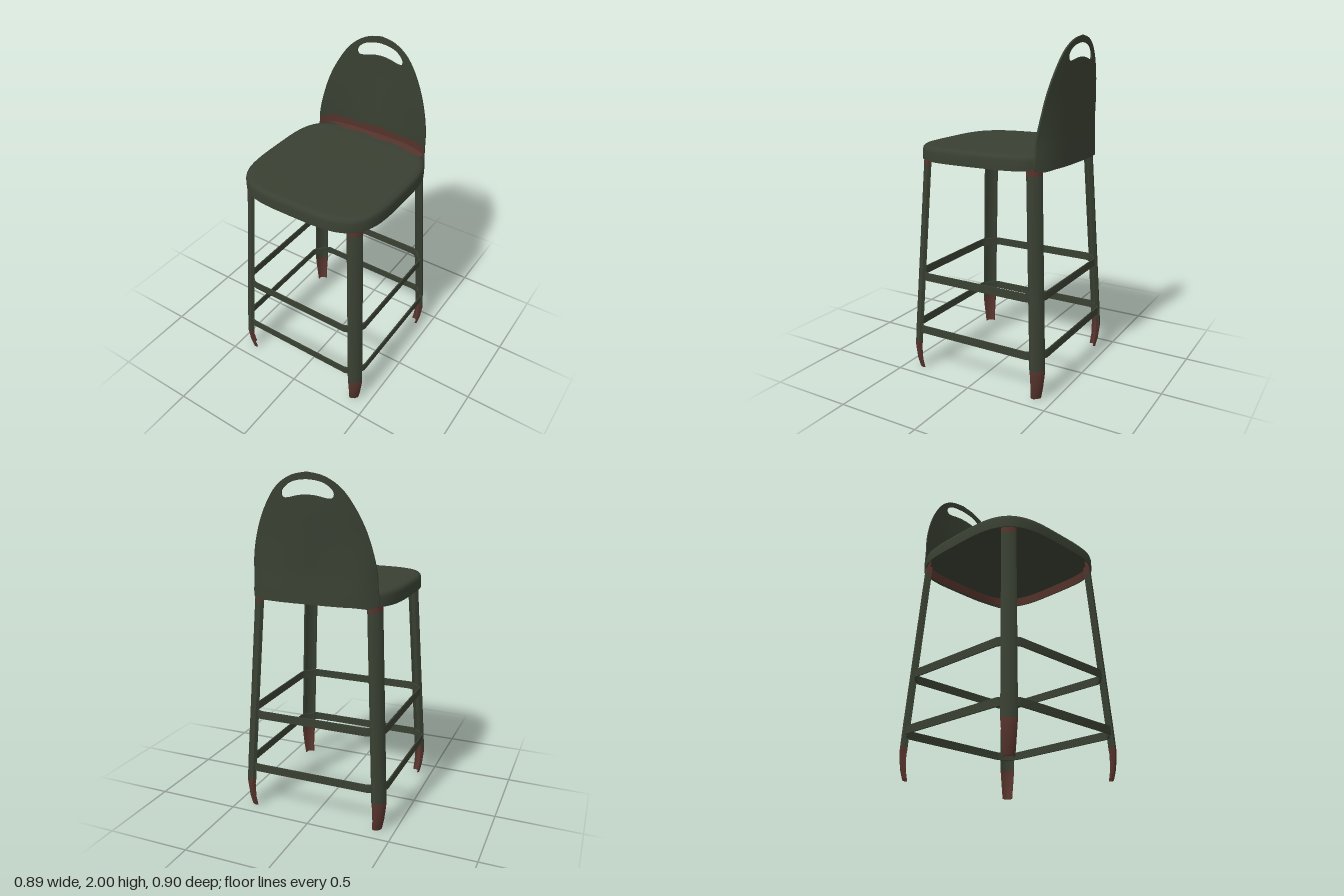
import * as THREE from 'three';
import { toCreasedNormals } from 'three/addons/utils/BufferGeometryUtils.js';

const paint = new THREE.MeshStandardMaterial({ color: 0x394032, side: THREE.DoubleSide });
paint.name = 'dark green paint';
const rust = new THREE.MeshStandardMaterial({ color: 0x57342d, side: THREE.DoubleSide });
rust.name = 'red brown wear';

const V = (x, y, z) => new THREE.Vector3(x, y, z);
const lerp = THREE.MathUtils.lerp;

function mesh(name, geometry, material) {
  const m = new THREE.Mesh(geometry, material);
  m.name = name;
  return m;
}

// Skin a series of closed loops that all have the same number of points
function loft(rings, crease = 0.6) {
  const n = rings[0].length, index = [];
  for (let i = 0; i < rings.length - 1; i++) {
    for (let j = 0; j < n; j++) {
      const k = (j + 1) % n;
      const a = i * n + j, b = i * n + k, c = b + n, d = a + n;
      index.push(a, b, c, a, c, d);
    }
  }
  const g = new THREE.BufferGeometry().setFromPoints(rings.flat());
  g.setIndex(index);
  return toCreasedNormals(g, crease);
}

// Piecewise linear lookup in a list of [key, value]
function lookup(table, x) {
  let i = 1;
  while (i < table.length - 1 && x > table[i][0]) i++;
  const [x0, y0] = table[i - 1], [x1, y1] = table[i];
  return lerp(y0, y1, THREE.MathUtils.clamp((x - x0) / (x1 - x0), 0, 1));
}

// ---- Seat: a squarish pan with a rounded top edge and a hollow underside
const POWER = 3.75;
function seatRing([scale, y]) {
  const pts = [];
  for (let j = 0; j < 72; j++) {
    const t = (j / 72) * Math.PI * 2, c = Math.cos(t), s = -Math.sin(t);
    const x = Math.sign(c) * Math.abs(c) ** (2 / POWER);
    const z = Math.sign(s) * Math.abs(s) ** (2 / POWER);
    pts.push(V(x * scale * 0.442, y, z * scale * (z < 0 ? 0.433 : 0.446)));
  }
  return pts;
}
function makeSeat() {
  const seat = new THREE.Group();
  seat.name = 'seat';
  const shell = [[0.985, 1.3], [1, 1.3], [1, 1.355], [0.992, 1.37], [0.97, 1.381],
    [0.92, 1.384], [0.6, 1.381], [0, 1.381]];
  seat.add(mesh('seatShell', loft(shell.map(seatRing), 0.9), paint));
  seat.add(mesh('seatInnerRim', loft([[0.965, 1.352], [0.985, 1.3]].map(seatRing)), rust));
  seat.add(mesh('seatUnderside', loft([[0, 1.352], [0.965, 1.352]].map(seatRing)), paint));
  return seat;
}

// ---- Backrest: curved sheet that hugs the seat at the bottom
function backZ(x, y) {
  const centre = lookup([[1.3, 0.436], [1.38, 0.434], [1.45, 0.43], [1.8, 0.444], [2, 0.448]], y);
  const hug = centre * (1 - (Math.abs(x) / 0.445) ** POWER) ** (1 / POWER);
  const bow = centre - 0.45 * x * x;
  return -lerp(hug, bow, THREE.MathUtils.smoothstep(y, 1.38, 1.7));
}
// Half outline, top to bottom, turned into a full loop
function backLoop(half) {
  const curve = new THREE.CatmullRomCurve3(half.map(([x, y]) => V(-x, y, 0)));
  const left = curve.getPoints(48);
  const right = left.slice(1, -1).reverse().map(p => V(-p.x, p.y, 0));
  return [...left, ...right];
}
function makeBackrest() {
  const outer = backLoop([[0, 2], [0.08, 1.985], [0.15, 1.95], [0.205, 1.9], [0.27, 1.8],
    [0.315, 1.7], [0.345, 1.6], [0.364, 1.5], [0.37, 1.4], [0.37, 1.3], [0.25, 1.3], [0.12, 1.3], [0, 1.3]]);
  const slot = backLoop([[0, 1.962], [0.05, 1.957], [0.1, 1.943], [0.138, 1.915], [0.149, 1.897],
    [0.15, 1.883], [0.145, 1.872], [0.135, 1.866], [0.12, 1.866], [0.1, 1.869], [0.07, 1.876],
    [0.035, 1.882], [0, 1.884]]);
  const front = [], back = [], STEPS = 14;
  for (let i = 0; i <= STEPS; i++) {
    const flat = outer.map((p, j) => p.clone().lerp(slot[j], i / STEPS));
    front.push(flat.map(p => V(p.x, p.y, backZ(p.x, p.y))));
    back.unshift(flat.map(p => V(p.x, p.y, backZ(p.x, p.y) - 0.01)));
  }
  return mesh('backrest', loft([...front, ...back, front[0]]), paint);
}

// ---- Worn patches where the seat meets the backrest
function patch(name, place) {
  const g = new THREE.PlaneGeometry(2, 1, 48, 3), p = g.attributes.position;
  for (let i = 0; i < p.count; i++) {
    const v = place(p.getX(i), p.getY(i) + 0.5);
    p.setXYZ(i, v.x, v.y, v.z);
  }
  g.computeVertexNormals();
  return mesh(name, g, rust);
}
function makeWear() {
  const group = new THREE.Group();
  group.name = 'wear';
  group.add(patch('backrestWear', (u, v) => {
    const x = u * 0.367;
    const top = 1.432 + 0.007 * Math.sin(x * 22 + 1) + 0.004 * Math.sin(x * 61);
    const y = lerp(1.375, top, v);
    return V(x, y, backZ(x, y) + 0.003);
  }));
  group.add(patch('seatWear', (u, v) => {
    const x = u * 0.36, end = backZ(x, 1.385);
    const edge = -0.385 + 0.007 * Math.sin(x * 27) + 0.17 * Math.max(0, x - 0.12);
    return V(x, 1.386, lerp(Math.max(edge, end + 0.005), end, v));
  }));
  return group;
}

// ---- Legs: pressed channels set diagonally, with tapered feet hooked inwards
function legRing(y) {
  const c = lookup([[0, 0.408], [0.06, 0.419], [0.15, 0.426], [0.3, 0.419], [1.35, 0.362]], y);
  const h = lookup([[0, 0.03], [0.18, 0.043], [1.35, 0.043]], y);
  const d = lookup([[0, 0.022], [0.18, 0.034], [1.35, 0.034]], y);
  const w = h - 0.007;
  const section = [[-h, -d], [-h, -0.013], [-h * 0.72, -0.003], [0, 0.002], [h * 0.72, -0.003], [h, -0.013], [h, -d],
    [w, -d], [w, -0.017], [w * 0.72, -0.01], [0, -0.006], [-w * 0.72, -0.01], [-w, -0.017], [-w, -d]];
  return section.map(([t, r]) => V(c + (r + t) * Math.SQRT1_2, y, c + (r - t) * Math.SQRT1_2));
}
// Fold the channel section onto its centre line to close an end
const folded = ring => ring.map((p, j) => p.clone().lerp(ring[ring.length - 1 - j], 0.5));

function makeLeg(name, angle) {
  const leg = new THREE.Group();
  leg.name = name;
  const foot = [0, 0.03, 0.06, 0.1, 0.15, 0.18].map(legRing);
  const shaft = [0.18, 0.24, 0.3, 0.8, 1.27].map(legRing);
  const top = [1.27, 1.35].map(legRing);
  leg.add(mesh('foot', loft([folded(foot[0]), ...foot], 0.8), rust));
  leg.add(mesh('shaft', loft(shaft, 0.8), paint));
  leg.add(mesh('legTop', loft([...top, folded(top[1])], 0.8), rust));
  leg.rotation.y = angle;
  return leg;
}

// ---- Footrest bands: flat strips running round all four legs
function makeBand(name, half, y0, y1) {
  const ring = (inset, y) => {
    const a = half - inset, b = a - 0.07, pts = [];
    const corner = [[a, -b + 0.02], [a, b - 0.02], [a - 0.008, b], [b, a - 0.008]];
    for (let q = 0; q < 4; q++) {
      const c = Math.cos(q * Math.PI / 2), s = Math.sin(q * Math.PI / 2);
      for (const [x, w] of corner) pts.push(V(x * c - w * s, y, -(x * s + w * c)));
    }
    return pts;
  };
  const rings = [ring(0, y0), ring(0, y1), ring(0.008, y1), ring(0.008, y0), ring(0, y0)];
  return mesh(name, loft(rings), paint);
}

export function createModel() {
  const model = new THREE.Group();
  model.name = 'barStool';
  model.add(makeSeat(), makeBackrest(), makeWear());
  ['frontLeftLeg', 'backLeftLeg', 'backRightLeg', 'frontRightLeg']
    .forEach((name, i) => model.add(makeLeg(name, i * Math.PI / 2)));
  model.add(makeBand('lowerFootrest', 0.444, 0.243, 0.29));
  model.add(makeBand('upperFootrest', 0.422, 0.575, 0.623));
  return model;
}
